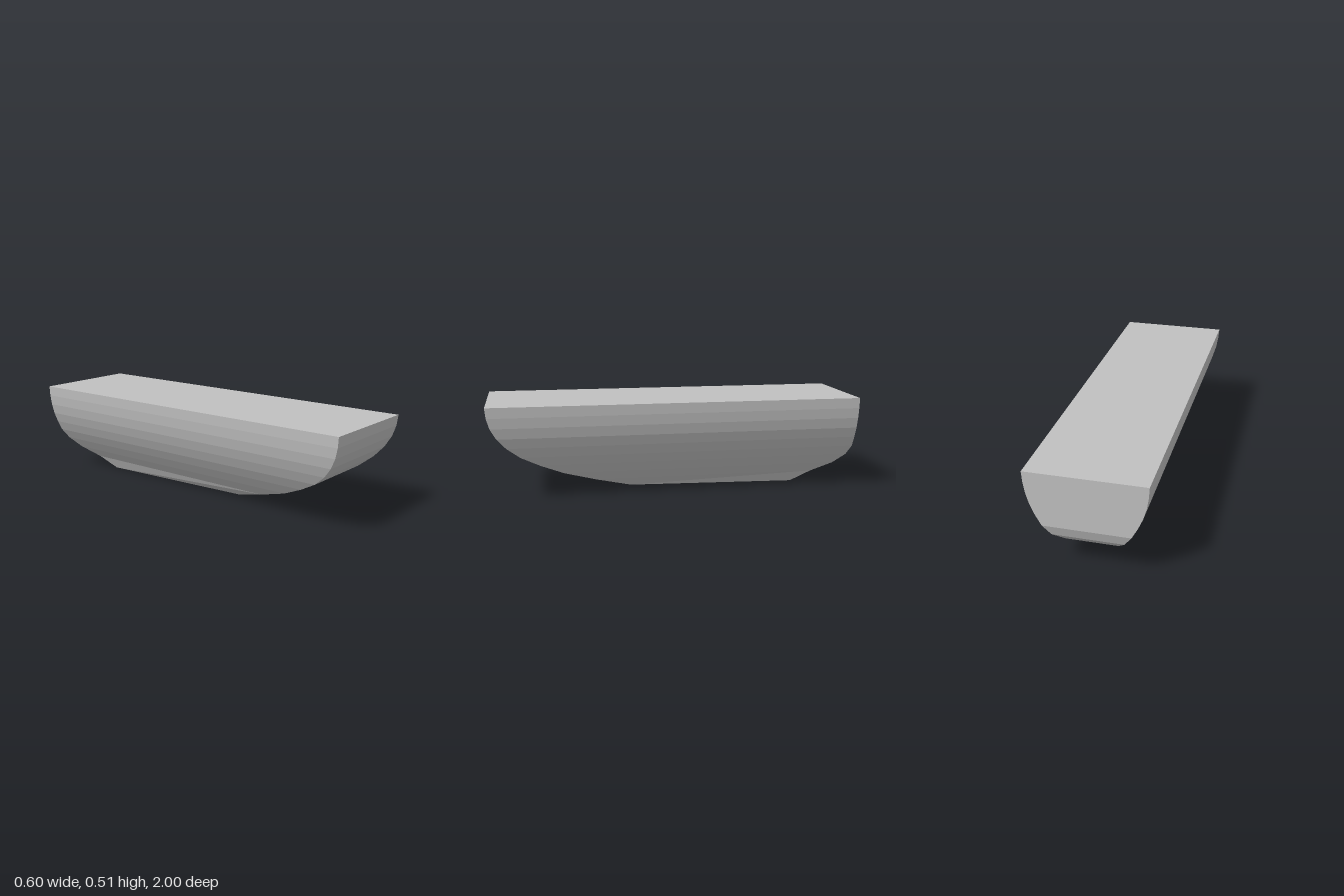
import * as THREE from 'three';

// Rectangular hull levels, deck to keel: [y, half width, bow z, stern z]
const levels = [
  [0.513, 0.30, 1.0, -1.0],
  [0.457, 0.296, 0.994, -1.0],
  [0.401, 0.287, 0.978, -1.0],
  [0.344, 0.271, 0.947, -1.0],
  [0.288, 0.247, 0.90, -1.0],
  [0.231, 0.216, 0.83, -1.0],
  [0.175, 0.177, 0.727, -0.98],
  [0.118, 0.132, 0.60, -0.92],
  [0.062, 0.08, 0.42, -0.81],
];

// Corners of one level, in order: bow left, bow right, stern right, stern left
const ring = ([y, w, bow, stern]) => [[w, y, bow], [-w, y, bow], [-w, y, stern], [w, y, stern]];

function quadGeometry(quads) {
  const positions = [];
  for (const [a, b, c, d] of quads) positions.push(...a, ...b, ...c, ...a, ...c, ...d);
  const geometry = new THREE.BufferGeometry();
  geometry.setAttribute('position', new THREE.Float32BufferAttribute(positions, 3));
  geometry.computeVertexNormals();
  return geometry;
}

export function createModel() {
  const group = new THREE.Group();
  group.name = 'boatHull';
  const hullGrey = new THREE.MeshStandardMaterial({ color: 0xc0c0c0, flatShading: true });
  hullGrey.name = 'hullGrey';

  const addPart = (name, quads) => {
    const mesh = new THREE.Mesh(quadGeometry(quads), hullGrey);
    mesh.name = name;
    group.add(mesh);
  };

  // The keel flat narrows and rises slightly toward the bow
  const keel = [[0.023, 0.009, 0.225], [-0.023, 0.009, 0.225], [-0.047, 0, -0.70], [0.047, 0, -0.70]];
  const rings = [...levels.map(ring), keel];

  // Bow, right side, stern and left side, each a strip of flat facets
  ['bow', 'rightSide', 'stern', 'leftSide'].forEach((name, i) => {
    const j = (i + 1) % 4;
    const strip = [];
    for (let k = 0; k < rings.length - 1; k++) {
      const upper = rings[k], lower = rings[k + 1];
      strip.push([upper[i], upper[j], lower[j], lower[i]]);
    }
    addPart(name, strip);
  });

  // Closed deck on top and the narrow keel flat underneath
  addPart('deck', [[...rings[0]].reverse()]);
  addPart('keel', [keel]);
  return group;
}
